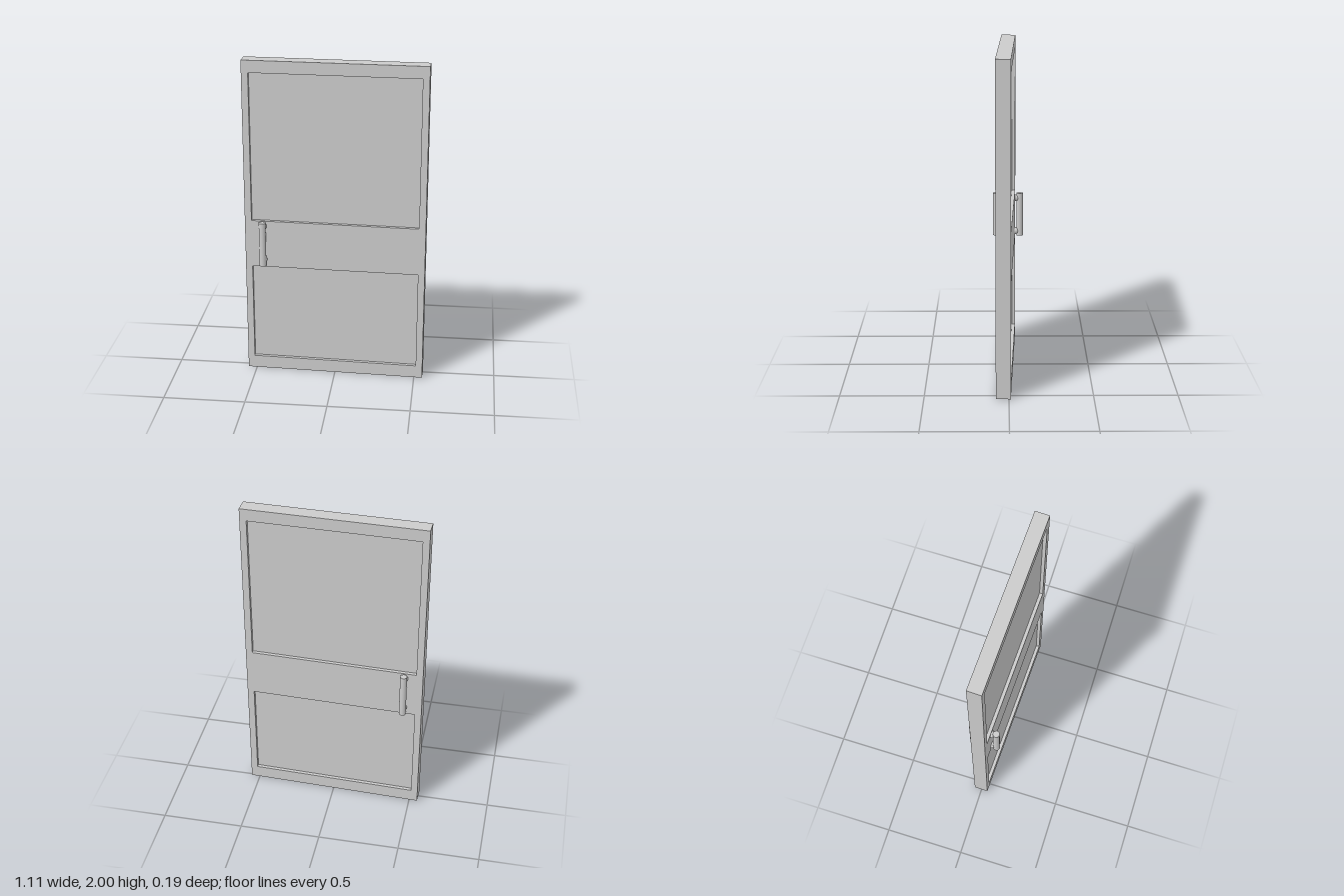
import * as THREE from 'three';

const material = new THREE.MeshStandardMaterial({ color: 0xcccccc });
const W = 1.106, H = 2, T = 0.088;                 // door leaf
const L = -0.512, R = 0.512, B = 0.08, TOP = 1.925; // recessed opening
const RECESS = 0.021;

function add(parent, name, geometry, x = 0, y = 0, z = 0) {
  const mesh = new THREE.Mesh(geometry, material);
  mesh.name = name;
  mesh.position.set(x, y, z);
  parent.add(mesh);
  return mesh;
}

function rectangle(PathType, x0, y0, x1, y1) {
  return new PathType([[x0, y0], [x1, y0], [x1, y1], [x0, y1]].map(p => new THREE.Vector2(...p)));
}

// Upright bar held off the door by two round-ended posts
function makeHandle(name, side) {
  const handle = new THREE.Group();
  handle.name = name;
  const x = -0.44;
  add(handle, 'grip', new THREE.CylinderGeometry(0.021, 0.021, 0.28, 32), x, 0.86, side * 0.075);
  for (const y of [0.75, 0.968]) {
    const post = add(handle, 'post', new THREE.CapsuleGeometry(0.022, 0.03, 8, 24), x, y, side * 0.036);
    post.rotation.x = Math.PI / 2;
  }
  return handle;
}

export function createModel() {
  const model = new THREE.Group();
  model.name = 'door';

  // The leaf stands very slightly ajar
  const leaf = new THREE.Group();
  leaf.name = 'leaf';
  leaf.rotation.y = -0.033;
  leaf.position.z = 0.015;
  model.add(leaf);

  // Outer frame with one large opening
  const outline = rectangle(THREE.Shape, -W / 2, 0, W / 2, H);
  outline.holes.push(rectangle(THREE.Path, L, B, R, TOP));
  add(leaf, 'frame', new THREE.ExtrudeGeometry(outline, { depth: T, bevelEnabled: false }), 0, 0, -T / 2);

  // Recessed panels above and below a flush middle rail
  for (const [name, y0, y1, depth] of [
    ['lowerPanel', B, 0.7, T - 2 * RECESS],
    ['middleRail', 0.7, 1.0, T],
    ['upperPanel', 1.0, TOP, T - 2 * RECESS],
  ]) {
    add(leaf, name, new THREE.BoxGeometry(R - L, y1 - y0, depth), (L + R) / 2, (y0 + y1) / 2, 0);
  }

  // Pull handles on both faces
  leaf.add(makeHandle('frontHandle', 1), makeHandle('backHandle', -1));
  return model;
}
